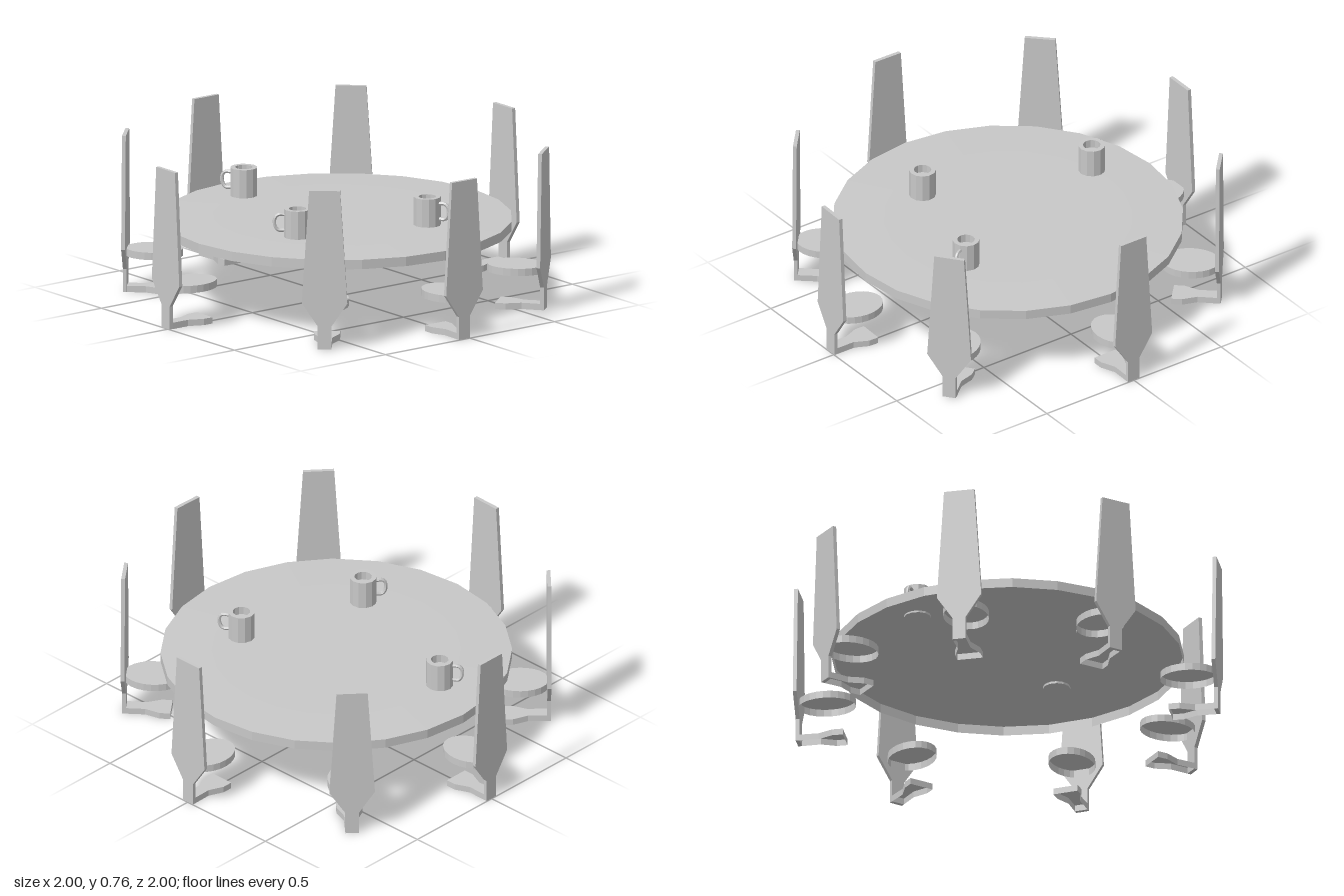
import * as THREE from 'three';

const grey = new THREE.MeshStandardMaterial({ color: 0xc8c8c8, flatShading: true, side: THREE.DoubleSide });
grey.name = 'plain grey';

function part(name, geometry) {
  const mesh = new THREE.Mesh(geometry, grey);
  mesh.name = name;
  return mesh;
}

function lathe(points, segments) {
  return new THREE.LatheGeometry(points.map(([r, y]) => new THREE.Vector2(r, y)), segments);
}

// Extrudes an outline given by its right half, mirrored across x = 0
function mirroredPlate(half, depth) {
  const outline = [...half, ...half.map(([x, y]) => [-x, y]).reverse()];
  const shape = new THREE.Shape(outline.map(([x, y]) => new THREE.Vector2(x, y)));
  return new THREE.ExtrudeGeometry(shape, { depth, bevelEnabled: false });
}

// Drops the downward-facing triangles, leaving a shell open underneath
function openBelow(geometry) {
  const source = geometry.getAttribute('position').array;
  const kept = [];
  for (let i = 0; i < source.length; i += 9) {
    const heights = [source[i + 1], source[i + 4], source[i + 7]];
    if (Math.max(...heights) > 0.001) kept.push(...source.slice(i, i + 9));
  }
  const open = new THREE.BufferGeometry();
  open.setAttribute('position', new THREE.Float32BufferAttribute(kept, 3));
  open.computeVertexNormals();
  return open;
}

// Chair stands at +z and faces the table centre
const backGeometry = mirroredPlate([[0.032, 0], [0.032, 0.11], [0.106, 0.22], [0.072, 0.76]], 0.018)
  .translate(0, 0, 0.98);
const footGeometry = openBelow(
  mirroredPlate([[0.032, -0.985], [0.03, -0.89], [0.06, -0.82], [0.06, -0.77]], 0.03).rotateX(-Math.PI / 2)
);
const seatGeometry = lathe([[1, 0.175], [1, 0.21], [0, 0.21]], 24)
  .scale(0.105, 1, 0.135).translate(0, 0, 0.855);

function makeChair(degrees) {
  const chair = new THREE.Group();
  chair.name = 'chair';
  chair.add(part('chairBack', backGeometry), part('chairFoot', footGeometry), part('chairSeat', seatGeometry));
  chair.rotation.y = THREE.MathUtils.degToRad(degrees);
  return chair;
}

// Thick-walled mug with a looped handle along local +x
const mugGeometry = lathe(
  [[0, 0.38], [0.0635, 0.38], [0.0635, 0.525], [0.041, 0.525], [0.041, 0.485], [0, 0.485]], 12
);
const handlePath = new THREE.CatmullRomCurve3(
  [[0.055, 0.497], [0.09, 0.497], [0.105, 0.48], [0.105, 0.445], [0.09, 0.424], [0.055, 0.424]]
    .map(([x, y]) => new THREE.Vector3(x, y, 0))
);
const handleGeometry = new THREE.TubeGeometry(handlePath, 16, 0.009, 6);

function makeMug(x, z, dx, dz) {
  const mug = new THREE.Group();
  mug.name = 'mug';
  mug.add(part('mugBody', mugGeometry), part('mugHandle', handleGeometry));
  mug.position.set(x, 0, z);
  mug.rotation.y = Math.atan2(-dz, dx);
  return mug;
}

export function createModel() {
  const model = new THREE.Group();
  model.name = 'roundTableWithChairs';

  // Shallow domed table top with an open underside
  model.add(part('tableTop', lathe([[0.818, 0.337], [0.818, 0.382], [0.58, 0.39], [0, 0.392]], 24)));

  // Ring of slightly unevenly placed chairs
  for (const degrees of [-180, -132, -90, -44.6, -1.2, 48.5, 88.3, 128.2]) model.add(makeChair(degrees));

  // Mugs: position, then handle direction
  model.add(makeMug(-0.56, 0.11, -0.09, 0.06));
  model.add(makeMug(0.4, -0.22, 0.1, -0.055));
  model.add(makeMug(0.205, 0.395, -0.06, 0.085));
  return model;
}
